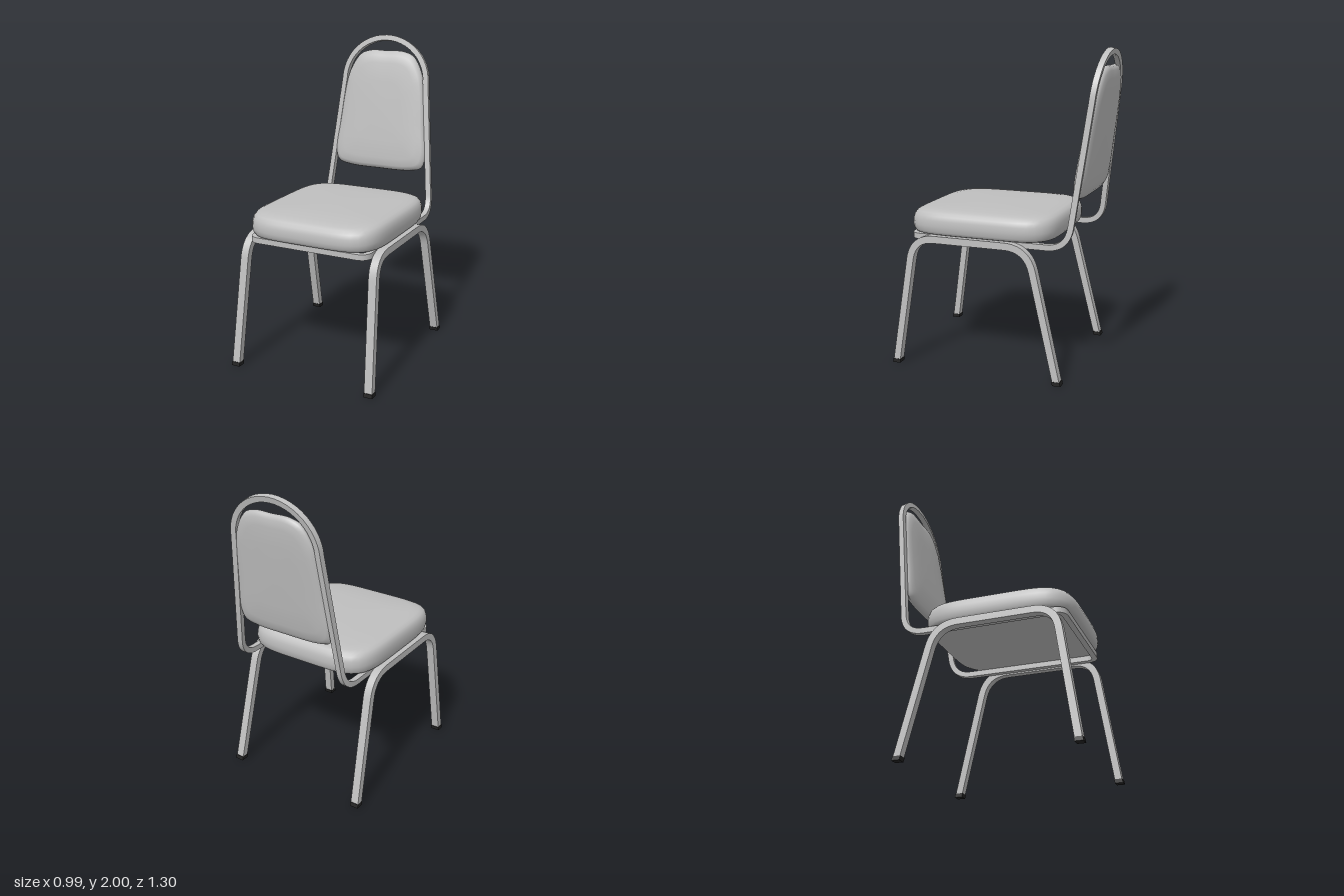
import * as THREE from 'three';
import { toCreasedNormals } from 'three/addons/utils/BufferGeometryUtils.js';

const V = (x, y, z) => new THREE.Vector3(x, y, z);

// Skin a list of equal-length rings of points
function skin(rings, closed, crease) {
  const n = rings[0].length, pos = [], idx = [];
  rings.forEach(r => r.forEach(p => pos.push(p.x, p.y, p.z)));
  const last = closed ? rings.length : rings.length - 1;
  for (let i = 0; i < last; i++) {
    for (let j = 0; j < n; j++) {
      const k = (j + 1) % n, a = i * n, b = ((i + 1) % rings.length) * n;
      idx.push(a + j, a + k, b + k, a + j, b + k, b + j);
    }
  }
  const g = new THREE.BufferGeometry();
  g.setAttribute('position', new THREE.Float32BufferAttribute(pos, 3));
  g.setIndex(idx);
  return toCreasedNormals(g, crease);
}

// Replace each corner that has a radius with a smooth bend
function rounded(points) {
  const out = [];
  points.forEach(([p, r], i) => {
    if (!r) { out.push(p); return; }
    const toward = q => p.clone().add(q.clone().sub(p).setLength(r));
    const a = toward(points[i - 1][0]), b = toward(points[i + 1][0]);
    out.push(...new THREE.QuadraticBezierCurve3(a, p, b).getPoints(12));
  });
  return out;
}

// Sweep a rectangular section along a path; open ends are cut level
function rectTube(pts, normal, across, wide, closed) {
  const m = pts.length, n = normal.clone();
  const rings = pts.map((p, i) => {
    const prev = pts[(i + m - 1) % m], next = pts[(i + 1) % m];
    const t = p.clone().sub(prev).normalize().add(next.clone().sub(p).normalize()).normalize();
    if (!closed && i === 0) t.set(0, 1, 0);
    if (!closed && i === m - 1) t.set(0, Math.sign(p.y - prev.y), 0);
    n.addScaledVector(t, -n.dot(t)).normalize();
    const b = t.clone().cross(n);
    return [[1, 1], [-1, 1], [-1, -1], [1, -1]].map(([u, v]) =>
      p.clone().addScaledVector(n, u * across / 2).addScaledVector(b, v * wide / 2));
  });
  if (!closed) {
    rings.unshift(rings[0].map(() => pts[0]));
    rings.push(rings[1].map(() => pts[m - 1]));
  }
  return skin(rings, closed, 0.6);
}

// Padded shape: scaled copies of an outline at successive heights
function cushion(outline, layers, place) {
  return skin(layers.map(([s, h]) => outline.map(p => place(p.x * s, p.y * s, h))), false, 1.0);
}

export function createModel() {
  const model = new THREE.Group();
  model.name = 'chair';
  const grey = new THREE.MeshStandardMaterial({ color: 0xbfbfbf });
  grey.name = 'grey';
  const black = new THREE.MeshStandardMaterial({ color: 0x222222 });
  black.name = 'black';
  const add = (name, geometry, material) => {
    const mesh = new THREE.Mesh(geometry, material);
    mesh.name = name;
    model.add(mesh);
  };

  // Leg hoops with black foot caps
  for (const [side, s] of [['left', 1], ['right', -1]]) {
    const frontFoot = V(s * 0.466, 0, 0.63), frontTop = V(s * 0.437, 0.83, 0.509);
    const rearFoot = V(s * 0.466, 0, -0.45), rearTop = V(s * 0.437, 0.83, -0.248);
    const frontCut = frontFoot.clone().lerp(frontTop, 0.03);
    const rearCut = rearFoot.clone().lerp(rearTop, 0.03);
    const path = rounded([[frontCut], [frontTop, 0.14], [rearTop, 0.15], [rearCut]]);
    add(side + 'Legs', rectTube(path, V(0, 0, 1), 0.045, 0.053, false), grey);
    add(side + 'FrontFoot', rectTube([frontFoot, frontCut], V(0, 0, 1), 0.051, 0.057, false), black);
    add(side + 'RearFoot', rectTube([rearFoot, rearCut], V(0, 0, 1), 0.051, 0.057, false), black);
  }

  // Seat rail and arched back in one continuous loop
  const leanZ = y => -0.478 - (y - 0.8325) * 0.127;
  const arch = [];
  for (let i = 0; i <= 12; i++) {
    const a = i / 12 * Math.PI / 2, y = 1.7 + 0.283 * Math.sin(a);
    arch.push([V(0.299 * Math.cos(a), y, leanZ(y))]);
  }
  const half = rounded([
    [V(0, 0.8325, 0.537)],
    [V(0.392, 0.8325, 0.537), 0.06],
    [V(0.388, 0.8325, -0.478), 0.13],
    ...arch,
  ]);
  const mirrored = half.slice(1, -1).reverse().map(p => V(-p.x, p.y, p.z));
  add('backAndSeatFrame', rectTube([...half, ...mirrored], V(0, 1, 0), 0.036, 0.036, true), grey);

  // Seat cushion with a squarish outline and a slightly crowned top
  const seatOutline = [];
  for (let i = 0; i < 80; i++) {
    const a = i / 80 * Math.PI * 2, c = Math.cos(a), d = Math.sin(a);
    const r = Math.pow(Math.abs(c) ** 5 + Math.abs(d) ** 5, -0.2);
    seatOutline.push(new THREE.Vector2(0.446 * c * r, 0.485 * d * r));
  }
  const seatLayers = [
    [0, 0.85], [0.93, 0.85], [0.97, 0.858], [0.99, 0.875], [1, 0.91], [0.996, 0.945],
    [0.98, 0.972], [0.95, 0.99], [0.9, 1.0], [0.8, 1.007], [0.5, 1.013], [0, 1.015],
  ];
  add('seatCushion', cushion(seatOutline, seatLayers, (u, v, h) => {
    const drop = h > 0.9 && v < -0.25 ? 0.2 * (v + 0.25) ** 2 : 0;
    return V(u, h - drop, 0.105 - v);
  }), grey);

  // Back cushion, tapered toward the top and leaning with the frame
  const edge = [
    [0, 1.1], [0.22, 1.105], [0.31, 1.13], [0.335, 1.2], [0.317, 1.4],
    [0.29, 1.65], [0.265, 1.76], [0.2, 1.865], [0.12, 1.897], [0, 1.897],
  ].map(([x, y]) => V(x, y - 1.5, 0));
  const otherEdge = edge.slice(1, -1).reverse().map(p => V(-p.x, p.y, 0));
  const backOutline = new THREE.CatmullRomCurve3([...edge, ...otherEdge], true).getPoints(80).slice(0, -1);
  const bulge = [[0, 0.04], [0.5, 0.039], [0.8, 0.036], [0.92, 0.029], [0.98, 0.017]];
  const backLayers = [
    ...bulge.map(([s, h]) => [s, -h]), [1, 0], ...bulge.slice().reverse(),
  ];
  add('backCushion', cushion(backOutline, backLayers,
    (u, v, h) => V(u, v + 1.5, leanZ(v + 1.5) + h + 0.004 - 0.02 * v)), grey);

  return model;
}
